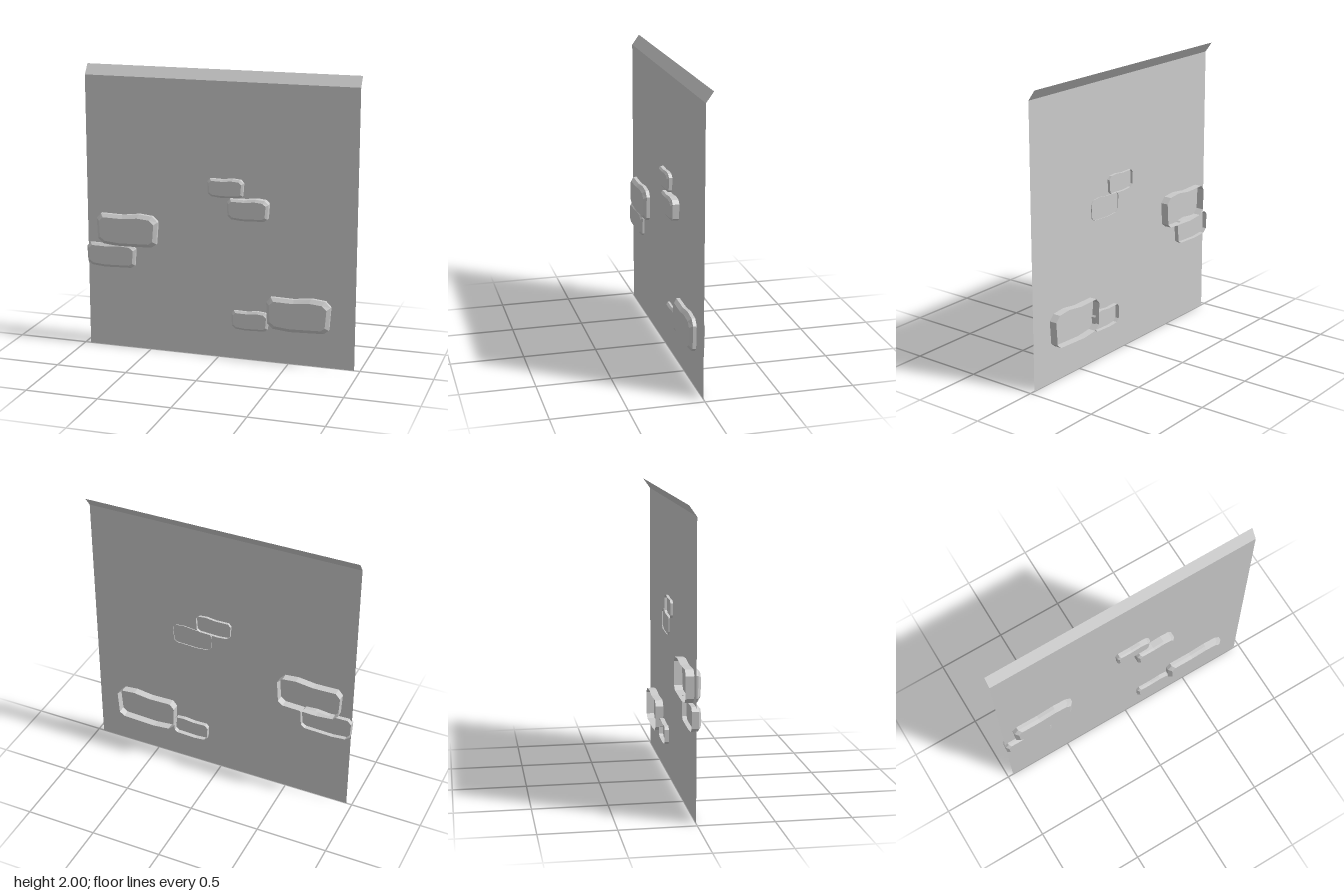
import * as THREE from 'three';

const material = new THREE.MeshStandardMaterial({ color: 0xcccccc, flatShading: true, side: THREE.DoubleSide });

// Irregular brick outline, counter-clockwise, in the range -1..1
const outline = [
  [-1, 0.6], [-0.97, -0.62], [-0.8, -0.9], [-0.27, -1], [0.8, -0.92], [0.95, -0.7],
  [1, 0.6], [0.83, 0.92], [0.4, 1], [-0.15, 0.87], [-0.86, 0.9],
];

// Skin a list of equal-length rings, each running counter-clockwise seen from +z
function skin(rings, closed) {
  const n = rings[0].length;
  const index = [];
  for (let r = 0; r < rings.length - 1; r++) {
    for (let i = 0; i < (closed ? n : n - 1); i++) {
      const a = r * n + i, b = r * n + (i + 1) % n;
      index.push(a, b, b + n, a, b + n, a + n);
    }
  }
  const geometry = new THREE.BufferGeometry();
  geometry.setAttribute('position', new THREE.Float32BufferAttribute(rings.flat(2), 3));
  geometry.setIndex(index);
  const flat = geometry.toNonIndexed();
  flat.computeVertexNormals();
  return flat;
}

// Brick with an open back, straight sides, a bevel and a flat face
function brick(name, x0, x1, y0, y1, zBack, zFront) {
  const w = (x1 - x0) / 2, h = (y1 - y0) / 2;
  const inset = Math.min(0.03, h * 0.2);
  const bevel = inset * 0.85;
  const ring = (d, z) => outline.map(([u, v]) => [u * (w - d), v * (h - d * 1.1), z]);
  const centre = outline.map(() => [0, 0, zFront]);
  const rings = [ring(0, zBack), ring(0, zFront - bevel), ring(inset, zFront), centre];
  const mesh = new THREE.Mesh(skin(rings, true), material);
  mesh.name = name;
  mesh.position.set((x0 + x1) / 2, (y0 + y1) / 2, 0);
  return mesh;
}

export function createModel() {
  const model = new THREE.Group();
  model.name = 'brickWall';

  // Thin wall sheet whose top edge leans back
  const row = (y, z) => [[-0.96, y, z], [0.96, y, z]];
  const wall = new THREE.Mesh(skin([row(0, 0), row(1.93, 0), row(2, -0.05)], false), material);
  wall.name = 'wallPanel';
  model.add(wall);

  // Exposed bricks in overlapping pairs
  model.add(
    brick('leftLargeBrick', -0.885, -0.435, 0.74, 0.98, -0.055, 0.045),
    brick('leftSmallBrick', -0.965, -0.6, 0.58, 0.76, -0.03, 0.03),
    brick('upperSmallBrick', -0.075, 0.18, 1.14, 1.275, -0.018, 0.035),
    brick('upperLargeBrick', 0.07, 0.36, 0.995, 1.15, -0.006, 0.058),
    brick('lowerLargeBrick', 0.345, 0.795, 0.237, 0.485, -0.055, 0.045),
    brick('lowerSmallBrick', 0.095, 0.36, 0.213, 0.357, -0.03, 0.027),
  );
  return model;
}
